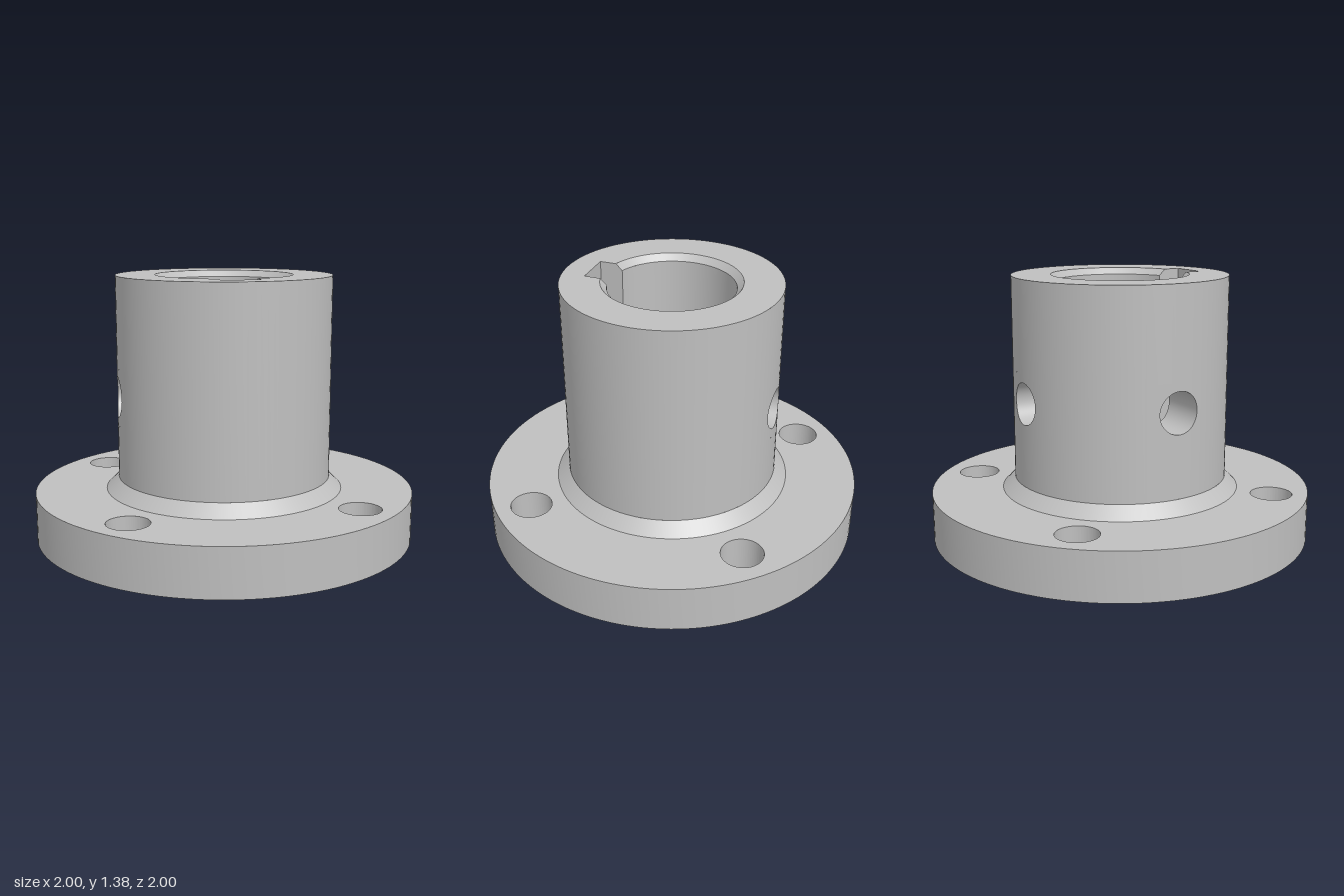
import * as THREE from 'three';
import { toCreasedNormals } from 'three/addons/utils/BufferGeometryUtils.js';
import { ParametricGeometry } from 'three/addons/geometries/ParametricGeometry.js';

const FLANGE_TOP = 0.25, TOP = 1.375;
const HUB_R = 0.5625, FILLET = 0.065;
const BORE_R = 0.325, BORE_TOP_R = 0.358, CHAMFER_Y = TOP - (BORE_TOP_R - BORE_R);
const KEY_HALF = 0.1, KEY_Z = 0.43;
const HOLE_R = 0.108, HOLE_Y = 0.75, PATCH = 0.15;
const SCREW_ANGLES = [Math.PI, Math.PI * 1.5]; // back and -x side

const lerp = THREE.MathUtils.lerp;

export function createModel() {
  const group = new THREE.Group();
  const steel = new THREE.MeshStandardMaterial({ color: 0xbfbfbf, side: THREE.DoubleSide });
  steel.name = 'grey steel';

  function add(name, geometry, parent = group) {
    const mesh = new THREE.Mesh(geometry, steel);
    mesh.name = name;
    parent.add(mesh);
    return mesh;
  }

  // Smooth surface from a rule; flip turns it to face the other way
  function sheet(rule, slices, stacks, flip) {
    return new ParametricGeometry((u, v, p) => rule(flip ? 1 - u : u, v, p), slices, stacks);
  }

  const onCylinder = (p, r, angle, y) => p.set(r * Math.sin(angle), y, r * Math.cos(angle));

  // Piece of a cylinder wall between two angles and two heights
  function arc(r, a0, a1, y0, y1, inward) {
    const slices = Math.max(6, Math.ceil((a1 - a0) / 0.06));
    return sheet((u, v, p) => onCylinder(p, r, lerp(a0, a1, u), lerp(y0, y1, v)), slices, 1, inward);
  }

  // Square patch of a cylinder wall with a round hole in it
  function holePatch(r, angle, inward) {
    return sheet((u, v, p) => {
      const t = u * Math.PI * 2, c = Math.cos(t), s = Math.sin(t);
      const d = lerp(PATCH / Math.max(Math.abs(c), Math.abs(s)), HOLE_R, v);
      const w = THREE.MathUtils.clamp(d * c, -PATCH, PATCH);
      onCylinder(p, r, angle + Math.asin(w / r), HOLE_Y + d * s);
    }, 64, 4, inward);
  }

  // Cylinder wall from angle a0 to a1, pierced by the screw holes
  function piercedWall(name, r, a0, a1, y0, y1, inward) {
    const wall = new THREE.Group();
    wall.name = name;
    group.add(wall);
    const half = Math.asin(PATCH / r);
    let start = a0;
    for (const angle of SCREW_ANGLES) {
      const l = angle - half, h = angle + half;
      add(name + 'Side', arc(r, start, l, y0, y1, inward), wall);
      add(name + 'Below', arc(r, l, h, y0, HOLE_Y - PATCH, inward), wall);
      add(name + 'Above', arc(r, l, h, HOLE_Y + PATCH, y1, inward), wall);
      add(name + 'HoleEdge', holePatch(r, angle, inward), wall);
      start = h;
    }
    add(name + 'Side', arc(r, start, a1, y0, y1, inward), wall);
  }

  // Flange with four bolt holes; its top is also the floor of the bore
  const disc = new THREE.Shape().absarc(0, 0, 1, 0, Math.PI * 2);
  for (const x of [-0.575, 0.575]) {
    for (const y of [-0.575, 0.575]) {
      disc.holes.push(new THREE.Path().absarc(x, y, HOLE_R, 0, Math.PI * 2, true));
    }
  }
  const flange = new THREE.ExtrudeGeometry(disc, { depth: FLANGE_TOP, bevelEnabled: false, curveSegments: 64 });
  flange.rotateX(-Math.PI / 2);
  add('flange', toCreasedNormals(flange, 0.6));

  // Sloped collar where the hub meets the flange
  const collar = new THREE.CylinderGeometry(HUB_R, HUB_R + FILLET, FILLET, 96, 1, true);
  add('collar', collar).position.y = FLANGE_TOP + FILLET / 2;

  // Hub outside and bore inside
  const keyAngle = (r) => Math.asin(KEY_HALF / r);
  const k = keyAngle(BORE_R);
  piercedWall('hubWall', HUB_R, 0, Math.PI * 2, FLANGE_TOP + FILLET, TOP, false);
  piercedWall('boreWall', BORE_R, k, Math.PI * 2 - k, FLANGE_TOP, CHAMFER_Y, true);

  // Chamfer at the mouth of the bore, broken by the keyway
  add('boreChamfer', sheet((u, v, p) => {
    const r = lerp(BORE_R, BORE_TOP_R, v), a = keyAngle(r);
    onCylinder(p, r, lerp(a, Math.PI * 2 - a, u), lerp(CHAMFER_Y, TOP, v));
  }, 96, 1, true));

  // Screw holes running from the bore to the outside
  for (const angle of SCREW_ANGLES) {
    add('screwHole', sheet((u, v, p) => {
      const t = u * Math.PI * 2, w = HOLE_R * Math.cos(t);
      const r = lerp(BORE_R, HUB_R, v);
      onCylinder(p, r, angle + Math.asin(w / r), HOLE_Y + HOLE_R * Math.sin(t));
    }, 64, 1, true));
  }

  // Top ring with the keyway outline
  const ring = new THREE.Shape().absarc(0, 0, HUB_R, 0, Math.PI * 2);
  const kt = keyAngle(BORE_TOP_R);
  const mouth = new THREE.Path().absarc(0, 0, BORE_TOP_R, -Math.PI / 2 + kt, Math.PI * 1.5 - kt);
  mouth.lineTo(-KEY_HALF, -KEY_Z);
  mouth.lineTo(KEY_HALF, -KEY_Z);
  mouth.closePath();
  ring.holes.push(mouth);
  add('hubTop', new THREE.ShapeGeometry(ring, 64).rotateX(-Math.PI / 2)).position.y = TOP;

  // Keyway: two sides and a back
  const zAt = (r) => Math.sqrt(r * r - KEY_HALF * KEY_HALF);
  for (const side of [1, -1]) {
    const outline = [
      [zAt(BORE_R), FLANGE_TOP], [KEY_Z, FLANGE_TOP], [KEY_Z, TOP],
      [zAt(BORE_TOP_R), TOP], [zAt(BORE_R), CHAMFER_Y],
    ].map(([z, y]) => new THREE.Vector2(side * z, y));
    const cheek = new THREE.ShapeGeometry(new THREE.Shape(outline)).rotateY(-side * Math.PI / 2);
    add('keywaySide', cheek).position.x = side * KEY_HALF;
  }
  const back = new THREE.PlaneGeometry(KEY_HALF * 2, TOP - FLANGE_TOP).rotateY(Math.PI);
  add('keywayBack', back).position.set(0, (TOP + FLANGE_TOP) / 2, KEY_Z);

  return group;
}
